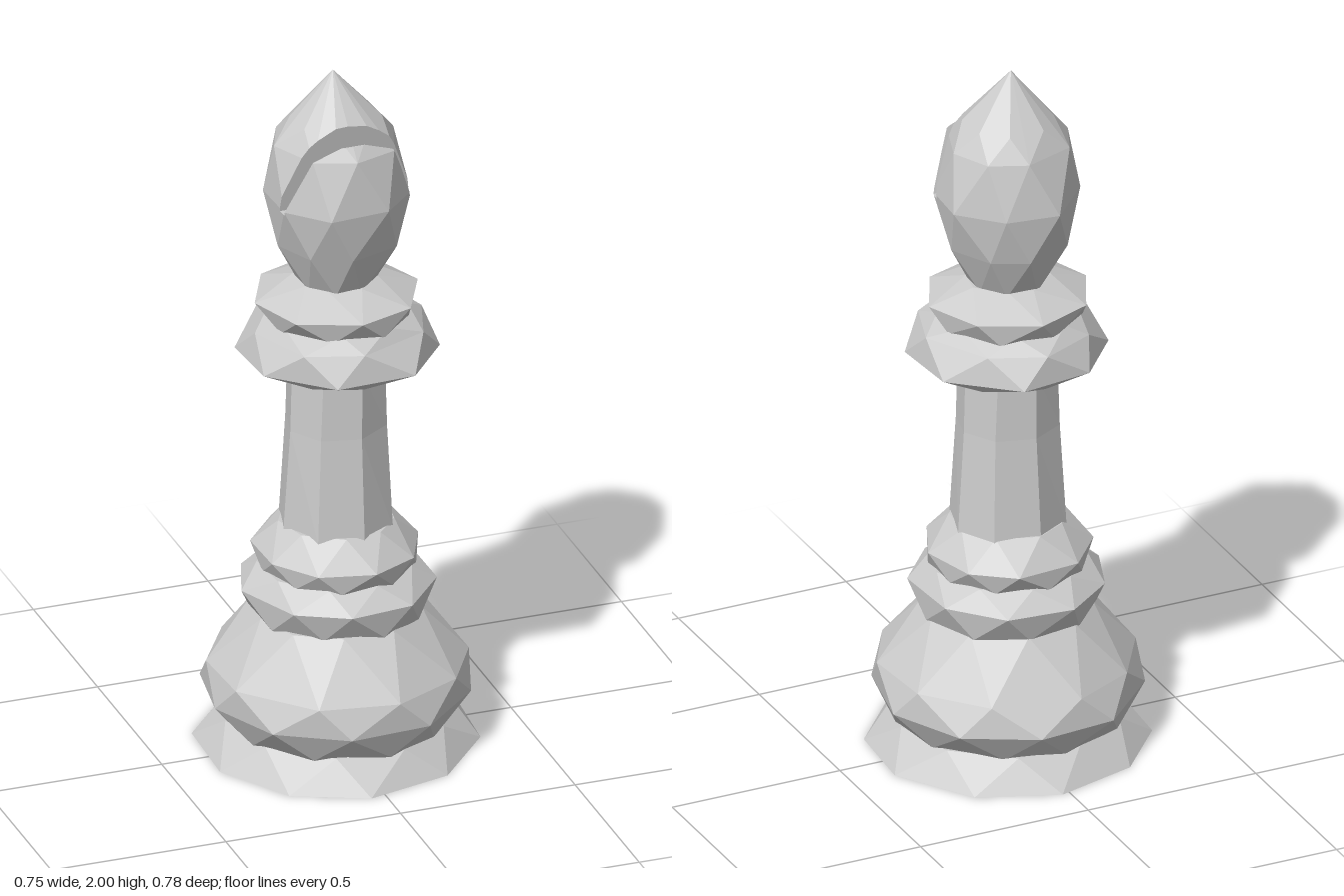
import * as THREE from 'three';
import { ConvexGeometry } from 'three/addons/geometries/ConvexGeometry.js';

const material = new THREE.MeshStandardMaterial({ color: 0xcccccc, flatShading: true });

// Small seeded noise in -1..1 for the hand-chiselled facets
let seed = 7;
const jitter = () => {
  seed = (seed * 16807) % 2147483647;
  return (seed / 2147483647) * 2 - 1;
};

// Uneven polygon ring around the y axis
function ring(y, r, sides, phase, rough) {
  return Array.from({ length: sides }, (_, i) => {
    const a = phase + ((i + jitter() * rough * 2) / sides) * Math.PI * 2;
    const rr = r * (1 + jitter() * rough * 0.5);
    return new THREE.Vector3(rr * Math.sin(a), y, rr * Math.cos(a));
  });
}

// Closed solid through [y, radius] rings; stagger turns each ring by a share of one side
function turned(name, profile, sides, phase, stagger, rough) {
  const points = [], index = [];
  profile.forEach(([y, r], j) =>
    points.push(...ring(y, r, sides, phase + (j * stagger * Math.PI * 2) / sides, rough)));
  const last = (profile.length - 1) * sides;
  const bottom = points.length, top = bottom + 1;
  points.push(new THREE.Vector3(0, profile[0][0], 0), new THREE.Vector3(0, profile.at(-1)[0], 0));
  for (let i = 0; i < sides; i++) {
    const n = (i + 1) % sides;
    for (let b = 0; b < last; b += sides) {
      const t = b + sides;
      index.push(b + i, b + n, t + i, b + n, t + n, t + i);
    }
    index.push(bottom, n, i, top, last + i, last + n);
  }
  const geometry = new THREE.BufferGeometry().setFromPoints(points);
  geometry.setIndex(index);
  geometry.computeVertexNormals();
  const mesh = new THREE.Mesh(geometry, material);
  mesh.name = name;
  return mesh;
}

// Corner points of a convex solid after keeping the positive side of a plane
function clip(points, plane) {
  const kept = points.filter((p) => plane.distanceToPoint(p) >= 0);
  const cut = points.filter((p) => plane.distanceToPoint(p) < 0);
  const crossings = kept.flatMap((a) => cut.map((b) => {
    const da = plane.distanceToPoint(a), db = plane.distanceToPoint(b);
    return a.clone().lerp(b, da / (da - db));
  }));
  return [...kept, ...crossings];
}

// Plane across x through two [z, y] points, facing front (+z) or back (-z)
function slotPlane([z0, y0], [z1, y1], facing) {
  const normal = new THREE.Vector3(0, z0 - z1, y1 - y0).normalize().multiplyScalar(facing);
  return new THREE.Plane().setFromNormalAndCoplanarPoint(normal, new THREE.Vector3(0, y0, z0));
}

function solid(name, points) {
  const mesh = new THREE.Mesh(new ConvexGeometry(points), material);
  mesh.name = name;
  return mesh;
}

// Pointed bulb split by a slanting slot near the front
function createHead() {
  const head = new THREE.Group();
  head.name = 'head';
  const profile = [[1.37, 0.105], [1.5, 0.17], [1.64, 0.203], [1.795, 0.172], [1.86, 0.122]];
  const points = profile.flatMap(([y, r], j) => ring(y, r, 8, 0.4 + j * 0.39, 0.06));
  points.push(new THREE.Vector3(-0.01, 2, 0));

  const floor = 1.63;
  const above = clip(points, new THREE.Plane(new THREE.Vector3(0, 1, 0), -floor));
  const below = clip(points, new THREE.Plane(new THREE.Vector3(0, -1, 0), floor));
  const flap = clip(
    clip(above, slotPlane([0.085, floor], [0.135, 1.83], 1)),
    new THREE.Plane(new THREE.Vector3(0, -1, 0), 1.83));
  head.add(
    solid('headLower', below),
    solid('headUpper', clip(above, slotPlane([0.055, floor], [0.1, 1.86], -1))),
    solid('headFrontFlap', flap));
  return head;
}

export function createModel() {
  seed = 7;
  const model = new THREE.Group();
  model.name = 'bishop';
  model.add(
    // Base
    turned('foot', [[0, 0.387], [0.085, 0.31]], 10, -0.07, 0.5, 0.03),
    turned('baseBulge', [[0.075, 0.31], [0.165, 0.372], [0.25, 0.352], [0.405, 0.235]], 10, 0.1, 0.5, 0.05),
    turned('lowerRing', [[0.395, 0.235], [0.48, 0.268], [0.535, 0.21]], 9, 0.2, 0.5, 0.05),
    turned('upperRing', [[0.525, 0.21], [0.585, 0.23], [0.665, 0.16]], 9, 0.45, 0.5, 0.05),
    // Stem
    turned('stem', [[0.65, 0.162], [0.95, 0.142], [1.14, 0.136]], 8, 0.15, 0, 0.03),
    // Collar
    turned('collar', [[1.13, 0.2], [1.17, 0.275], [1.25, 0.242], [1.29, 0.19]], 8, 0.04, 0.5, 0.06),
    turned('neckRing', [[1.27, 0.2], [1.335, 0.228], [1.385, 0.115]], 8, 0.3, 0.5, 0.06),
    createHead());
  return model;
}
